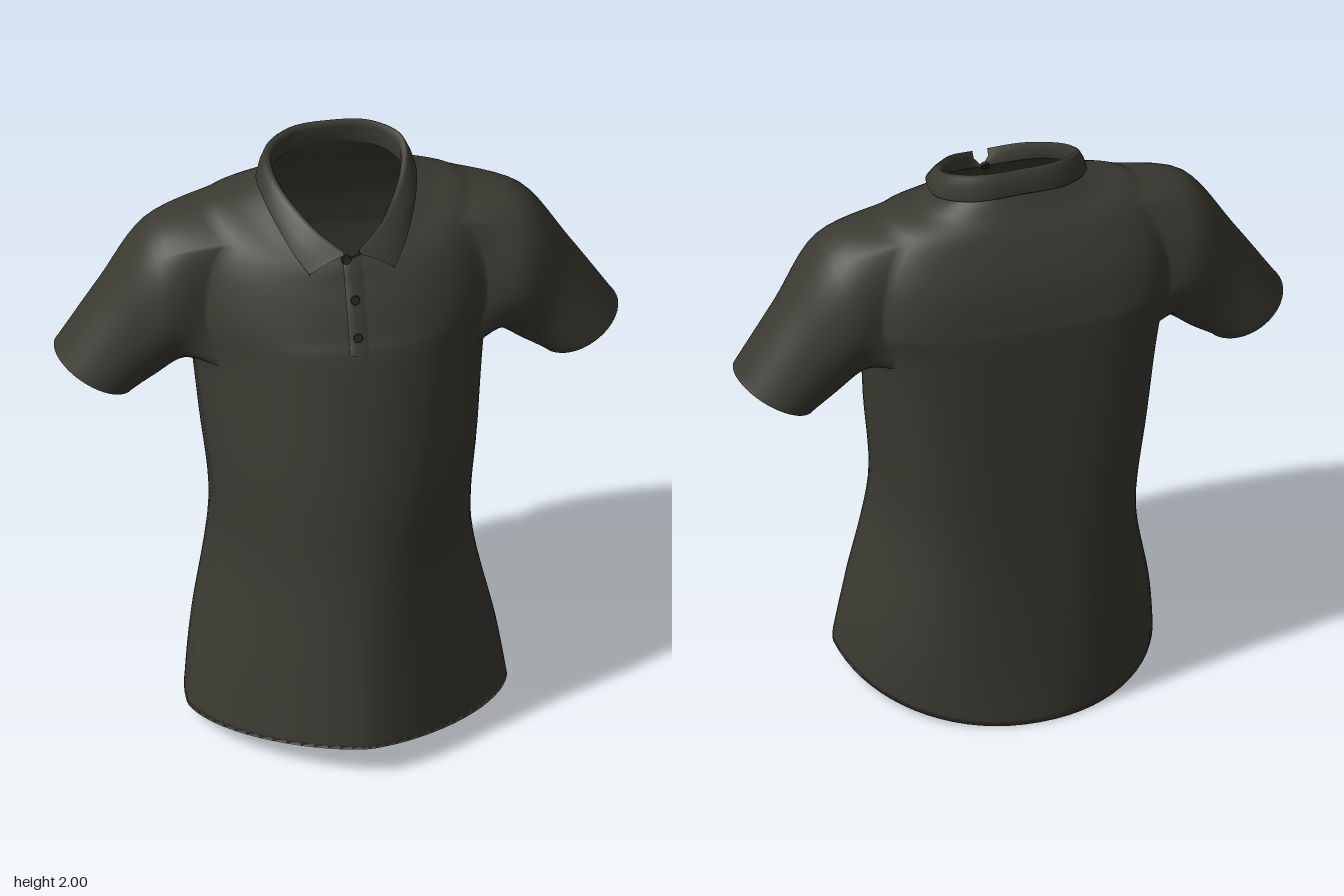
import * as THREE from 'three';
import { mergeVertices } from 'three/addons/utils/BufferGeometryUtils.js';

const fabric = new THREE.MeshStandardMaterial({ color: 0x3b3a32, side: THREE.DoubleSide });
fabric.name = 'dark olive fabric';
const buttonDark = new THREE.MeshStandardMaterial({ color: 0x1e1e1a });
buttonDark.name = 'button black';

// Smooth interpolation through rows of numbers, v measured in rows
function spline(rows, v) {
  const n = rows.length - 1;
  const i = Math.min(Math.floor(v), n - 1), t = v - i;
  const row = k => rows[Math.max(0, Math.min(n, k))];
  const a = row(i - 1), b = row(i), c = row(i + 1), d = row(i + 2);
  return b.map((_, k) => b[k] + 0.5 * t * (c[k] - a[k]
    + t * (2 * a[k] - 5 * b[k] + 4 * c[k] - d[k] + t * (3 * (b[k] - c[k]) + d[k] - a[k]))));
}

// Add the quads between successive rings of points
function loft(out, rings, closed, skip = () => false) {
  for (let j = 0; j < rings.length - 1; j++) {
    const n = rings[j].length;
    for (let i = 0; i < (closed ? n : n - 1); i++) {
      if (skip(j, i)) continue;
      const k = (i + 1) % n;
      const a = rings[j][i], b = rings[j + 1][i], c = rings[j + 1][k], d = rings[j][k];
      out.push(...a, ...b, ...d, ...b, ...c, ...d);
    }
  }
}

function smoothMesh(positions, name) {
  let geo = new THREE.BufferGeometry();
  geo.setAttribute('position', new THREE.Float32BufferAttribute(positions, 3));
  geo = mergeVertices(geo, 1e-4);
  geo.computeVertexNormals();
  const mesh = new THREE.Mesh(geo, fabric);
  mesh.name = name;
  return mesh;
}

// Torso rings, hem to neck:
// half width, side z, side y, front z, front y, back z, back y, front and back squareness
const TORSO = [
  [0.513, 0.06, 0.05, 0.495, 0.105, -0.49, 0.0, 1.3, 0.95],
  [0.482, 0.03, 0.25, 0.473, 0.28, -0.475, 0.22, 1.25, 0.8],
  [0.408, -0.02, 0.63, 0.425, 0.64, -0.46, 0.62, 1.1, 0.62],
  [0.435, -0.07, 1.0, 0.38, 1.0, -0.457, 1.0, 1.0, 0.56],
  [0.468, -0.14, 1.3, 0.288, 1.41, -0.452, 1.42, 0.92, 0.54],
  [0.51, -0.15, 1.5, 0.247, 1.51, -0.442, 1.52, 0.95, 0.54],
  [0.49, -0.15, 1.69, 0.205, 1.6, -0.412, 1.65, 1.0, 0.58],
  [0.42, -0.15, 1.807, 0.165, 1.67, -0.355, 1.78, 1.0, 0.7],
  [0.3, -0.15, 1.845, 0.145, 1.71, -0.315, 1.85, 1.05, 0.85],
  [0.215, -0.15, 1.875, 0.125, 1.74, -0.28, 1.915, 1.15, 0.9],
];
const COLS = 72, SUB = 6, HALF = 6;          // ring columns, steps per row, armhole half width
const J0 = 4 * SUB, J1 = 7 * SUB;            // armhole bottom and top rows
const NECK = TORSO.length - 1;

function torsoPoint(v, angle) {
  const [w, zs, ys, zf, yf, zb, yb, ef, eb] = spline(TORSO, v);
  const c = Math.cos(angle), s = Math.sin(angle), front = s >= 0;
  const e = front ? ef : eb;
  const x = w * Math.sign(c) * Math.abs(c) ** e;
  const f = Math.abs(s) ** e;
  return [x, ys + ((front ? yf : yb) - ys) * f ** 1.5, zs + ((front ? zf : zb) - zs) * f];
}

// Sleeve rings: centre x y z, half height vector x y, half depth
const SLEEVE = [
  [0.56, 1.51, -0.142, 0.045, 0.238, 0.21],
  [0.67, 1.372, -0.148, 0.09, 0.153, 0.175],
  [0.768, 1.25, -0.15, 0.122, 0.072, 0.163],
  [0.776, 1.24, -0.15, 0.123, 0.07, 0.16],
];

function buildBody() {
  const out = [];
  const rings = [];
  for (let j = 0; j <= NECK * SUB; j++) {
    rings.push(Array.from({ length: COLS }, (_, i) => torsoPoint(j / SUB, i / COLS * Math.PI * 2)));
  }
  const inArmhole = i => [0, COLS / 2, COLS].some(c => i >= c - HALF && i < c + HALF);
  loft(out, rings, true, (j, i) => j >= J0 && j < J1 && inArmhole(i));

  // Turned-in hem
  loft(out, [rings[0].map(([x, y, z]) => [x * 0.98, y + 0.025, z * 0.98]), rings[0]], true);

  // Sleeves grow from the armhole edge
  for (const [mid, side] of [[0, 1], [COLS / 2, -1]]) {
    const edge = [];
    const at = (j, i) => edge.push(rings[j][(mid + i + COLS) % COLS]);
    for (let i = -HALF; i < HALF; i++) at(J0, i);
    for (let j = J0; j < J1; j++) at(j, HALF);
    for (let i = HALF; i > -HALF; i--) at(J1, i);
    for (let j = J1; j > J0; j--) at(j, -HALF);
    const paths = edge.map(p => {
      const a = Math.atan2((p[2] + 0.14) / 0.22, (p[1] - 1.54) / 0.25);
      const stops = SLEEVE.map(([x, y, z, hx, hy, r]) =>
        [side * (x + hx * Math.cos(a)), y + hy * Math.cos(a), z + r * Math.sin(a)]);
      return [p, ...stops];
    });
    const sleeve = [];
    for (let k = 0; k <= 24; k++) sleeve.push(paths.map(p => spline(p, k / 6)));
    // Turned-in cuff
    const [cx, cy, cz] = SLEEVE[3];
    sleeve.push(sleeve[24].map(([x, y, z]) => [
      side * (cx - 0.02) + (x - side * cx) * 0.92, cy + 0.03 + (y - cy) * 0.92, cz + (z - cz) * 0.92]));
    loft(out, sleeve, true);
  }
  return smoothMesh(out, 'shirtBody');
}

// Collar fold and lower edge on the +x side, front to back centre
const FOLD = [[0.025, 1.787, 0.15], [0.118, 1.845, 0.07], [0.2, 1.92, -0.07],
  [0.213, 1.972, -0.19], [0.125, 1.995, -0.262], [0, 2.0, -0.275]];
const FALL = [[0.135, 1.712, 0.163], [0.187, 1.772, 0.085], [0.24, 1.85, -0.06],
  [0.245, 1.882, -0.19], [0.15, 1.905, -0.28], [0, 1.915, -0.296]];

function buildCollar() {
  const mirrored = line => [...line, ...line.slice(0, -1).reverse().map(([x, y, z]) => [-x, y, z])];
  const lines = [FOLD, FALL].map(mirrored);
  // Move a point away from the neck axis
  const push = ([x, y, z], d, dy) => {
    const r = Math.hypot(x, z + 0.1);
    return [x + x / r * d, y + dy, z + (z + 0.1) / r * d];
  };
  const sections = [];
  for (let k = 0; k <= COLS; k++) {
    const stand = torsoPoint(NECK, Math.PI / 2 - k / COLS * Math.PI * 2);
    const [t, f] = lines.map(l => spline(l, k / COLS * 10));
    const mid = t.map((a, i) => (a + f[i]) / 2);
    sections.push([stand, push(t, -0.012, -0.02), t, push(t, 0.012, -0.008), push(mid, 0.01, 0.004),
      push(f, 0.004, 0.008), f, push(f, -0.016, 0.004), push(mid, -0.008, 0)]);
  }
  const out = [];
  loft(out, sections, false);
  return smoothMesh(out, 'collar');
}

// Button placket: a thin raised strip down the chest
function buildPlacket() {
  const out = [], rows = [];
  for (let k = 0; k <= 24; k++) {
    const [, y, z] = torsoPoint(4.3 + 4.7 * k / 24, Math.PI / 2);
    rows.push([[0.042, -0.008], [0.036, 0.001], [0.0, 0.004], [-0.022, 0.006], [-0.025, -0.008]]
      .map(([x, d]) => [x, y + d * 0.4, z + d]));
  }
  loft(out, rows, false);
  return smoothMesh(out, 'placket');
}

export function createModel() {
  const model = new THREE.Group();
  model.name = 'poloShirt';
  model.add(buildBody(), buildCollar(), buildPlacket());

  // Buttons
  for (const [x, y, z] of [[-0.012, 1.738, 0.131], [0.005, 1.625, 0.196], [0.005, 1.515, 0.248]]) {
    const button = new THREE.Mesh(new THREE.CylinderGeometry(0.014, 0.017, 0.012, 20), buttonDark);
    button.name = 'button';
    button.position.set(x, y, z);
    button.rotation.x = Math.PI / 2 - 0.45;
    model.add(button);
  }
  return model;
}
